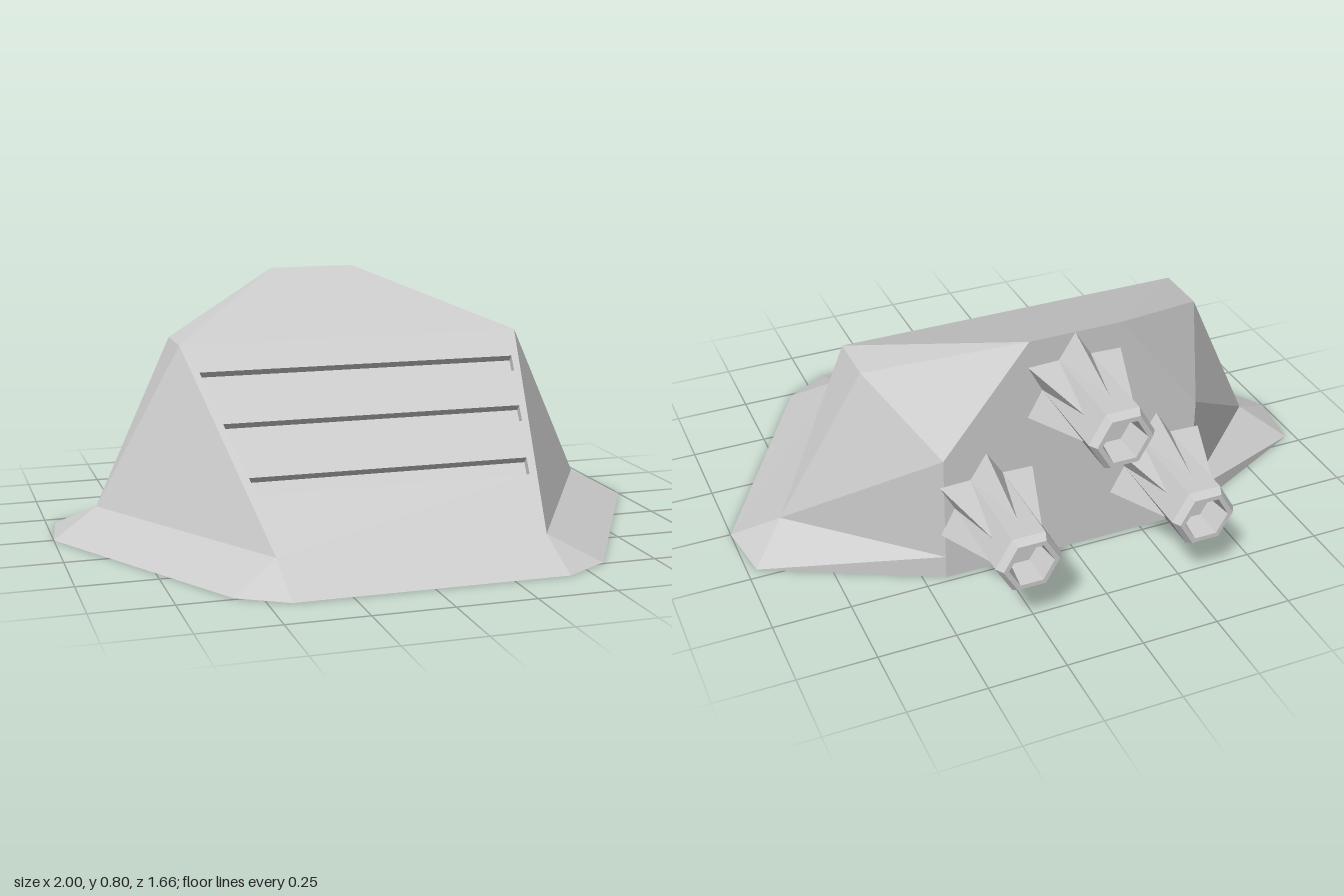
import * as THREE from 'three';

const material = new THREE.MeshStandardMaterial({ color: 0xcccccc, flatShading: true });

function part(name, geometry) {
  const mesh = new THREE.Mesh(geometry, material);
  mesh.name = name;
  return mesh;
}

// Flat convex polygons, each turned to face away from an inner point
function facets(polygons, inner) {
  const out = [];
  const n = new THREE.Vector3(), e = new THREE.Vector3();
  for (const polygon of polygons) {
    const p = polygon.map((c) => new THREE.Vector3(...c));
    n.subVectors(p[1], p[0]).cross(e.subVectors(p[2], p[0]));
    if (n.dot(e.subVectors(p[0], inner)) < 0) p.reverse();
    for (let i = 1; i < p.length - 1; i++) {
      for (const v of [p[0], p[i], p[i + 1]]) out.push(v.x, v.y, v.z);
    }
  }
  const geometry = new THREE.BufferGeometry();
  geometry.setAttribute('position', new THREE.Float32BufferAttribute(out, 3));
  geometry.computeVertexNormals();
  return geometry;
}

const flip = ([x, y, z]) => [-x, y, z];
const bothSides = (polygons) => [...polygons, ...polygons.map((p) => p.map(flip))];
const across = (a, b) => [a, b, flip(b), flip(a)];

// Hull corners on the +x side
const toe = [0.43, 0, 0.83], toeSide = [0.58, 0, 0.74], wing = [1, 0, 0];
const wingBack = [0.97, 0, -0.21], heel = [0.43, 0, -0.48];
const footFront = [0.43, 0.08, 0.65], footSide = [0.85, 0.08, -0.08], footBack = [0.43, 0.08, -0.48];
const brow = [0.58, 0.615, 0.01], browBack = [0.58, 0.615, -0.17];
const crown = [0.15, 0.795, -0.48], backCorner = [0.43, 0.44, -0.48];

// Sloping front plate with three recessed slots, laid out in its own plane
function frontPlate() {
  const rise = brow[1] - footFront[1], run = footFront[2] - brow[2];
  const length = Math.hypot(rise, run), depth = 0.025;
  const quad = (Type, x0, v0, x1, v1) => new Type([
    new THREE.Vector2(-x0, v0), new THREE.Vector2(x0, v0),
    new THREE.Vector2(x1, v1), new THREE.Vector2(-x1, v1),
  ]);
  const outline = () => quad(THREE.Shape, footFront[0], 0, brow[0], length);
  const plate = outline();
  for (const [top, half] of [[0.54, 0.534], [0.404, 0.496], [0.268, 0.455]]) {
    const v = (y) => (y - footFront[1]) / rise * length;
    plate.holes.push(quad(THREE.Path, half - 0.01, v(top - 0.042), half, v(top)));
  }
  const group = new THREE.Group();
  group.name = 'frontPlate';
  const panel = part('slottedPanel', new THREE.ExtrudeGeometry(plate, { depth, bevelEnabled: false }));
  panel.position.z = -depth;
  const floor = part('slotFloor', new THREE.ShapeGeometry(outline()));
  floor.position.z = -depth;
  group.add(panel, floor);
  group.position.set(0, footFront[1], footFront[2]);
  group.rotation.x = -Math.atan2(run, rise);
  return group;
}

// Hexagonal nozzle with a hollow tip and a tapering fin on every flat
function thruster(x, y) {
  const group = new THREE.Group();
  group.name = 'thruster';
  const r = 0.106, flat = r * Math.cos(Math.PI / 6);
  const profile = [[r, 0.46], [r, 0.805], [0.09, 0.83], [0.073, 0.83], [0.06, 0.74], [0, 0.74]];
  const barrel = new THREE.LatheGeometry(profile.map((p) => new THREE.Vector2(...p)), 6, Math.PI / 2);
  barrel.rotateX(-Math.PI / 2);
  group.add(part('barrel', barrel));

  const tip = [0, flat, -0.72], root = [0, 0.177, -0.48];
  const corner = [r / 2, flat, -0.48];
  const fin = facets(bothSides([[tip, root, corner]]), new THREE.Vector3(0, 0, -0.48));
  for (let i = 0; i < 6; i++) {
    const mesh = part('fin', fin);
    mesh.rotation.z = i * Math.PI / 3;
    group.add(mesh);
  }
  group.position.set(x, y, 0);
  return group;
}

export function createModel() {
  const model = new THREE.Group();
  const inner = new THREE.Vector3(0, 0.02, 0);

  // Spreading skirt and flat underside
  const ring = [toe, toeSide, wing, wingBack, heel];
  model.add(part('skirt', facets([
    ...bothSides([
      [footFront, toe, toeSide],
      [footFront, toeSide, wing, footSide],
      [footSide, wing, wingBack],
      [footSide, wingBack, footBack],
      [footBack, wingBack, heel],
    ]),
    across(toe, footFront),
    [...ring, ...ring.map(flip).reverse()],
  ], inner)));

  // Faceted upper hull with an upright back
  model.add(part('hull', facets([
    ...bothSides([
      [footFront, footSide, brow],
      [brow, footSide, browBack],
      [browBack, footSide, backCorner],
      [footSide, footBack, backCorner],
      [browBack, backCorner, crown],
      [brow, browBack, crown],
    ]),
    across(brow, crown),
    across(crown, backCorner),
    across(backCorner, heel),
  ], inner)));

  model.add(frontPlate());

  // One high thruster between two low ones
  for (const [x, y] of [[0, 0.617], [0.29, 0.258], [-0.29, 0.258]]) model.add(thruster(x, y));
  return model;
}
